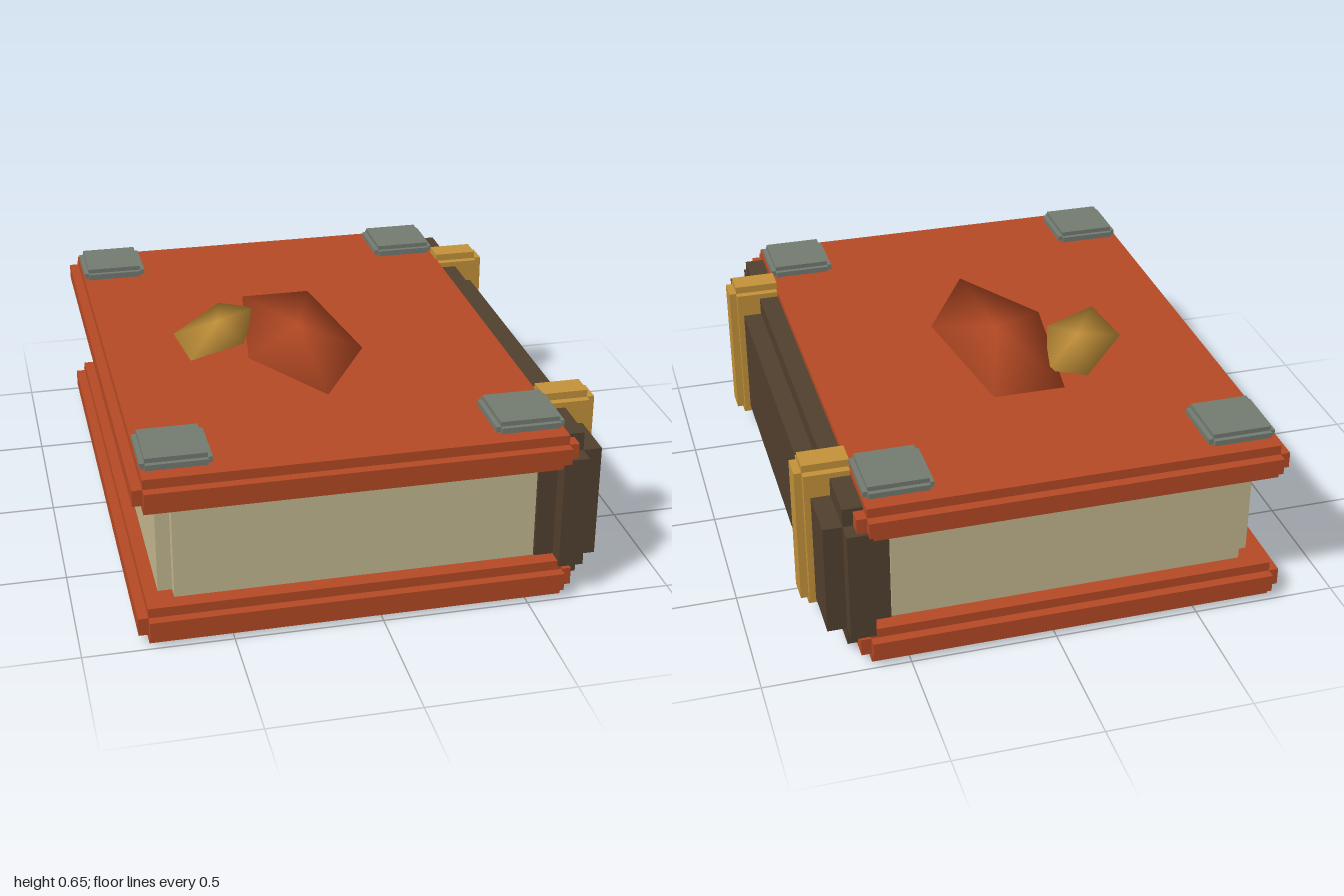
import * as THREE from 'three';
import { mergeGeometries } from 'three/addons/utils/BufferGeometryUtils.js';

const mat = (name, color) => Object.assign(new THREE.MeshStandardMaterial({ color }), { name });

// Block with square notches of size b cut along all its edges:
// three crossed boxes, each full length on one axis only.
function notchedBlock([x0, x1], [y0, y1], [z0, z1], b) {
  const size = [x1 - x0, y1 - y0, z1 - z0];
  const boxes = [0, 1, 2].map((axis) =>
    new THREE.BoxGeometry(...size.map((s, i) => (i === axis ? s : s - 2 * b))));
  return mergeGeometries(boxes)
    .translate((x0 + x1) / 2, (y0 + y1) / 2, (z0 + z1) / 2);
}

// Smooth kite-like gem: five rim points [x, z] and a peak above and below the rim.
function gem(rim, peak, rimY, height) {
  const n = rim.length;
  const pos = rim.flatMap(([x, z]) => [x, rimY, z]);
  pos.push(peak[0], rimY + height, peak[1], peak[0], rimY - height, peak[1]);
  const index = [];
  for (let i = 0; i < n; i++) {
    const j = (i + 1) % n;
    index.push(j, i, n, i, j, n + 1);
  }
  const geo = new THREE.BufferGeometry();
  geo.setAttribute('position', new THREE.Float32BufferAttribute(pos, 3));
  geo.setIndex(index);
  geo.computeVertexNormals();
  return geo;
}

export function createModel() {
  const leather = mat('red leather', 0xb54a24);
  const paper = mat('paper', 0xc4b88f);
  const spineBrown = mat('dark brown', 0x52402f);
  const brass = mat('brass', 0xc4923a);
  const iron = mat('grey iron', 0x747c72);

  const book = new THREE.Group();
  book.name = 'book';
  const add = (name, geometry, material) => {
    const mesh = new THREE.Mesh(geometry, material);
    mesh.name = name;
    book.add(mesh);
  };

  // Covers, pages and spine
  add('bottomCover', notchedBlock([-0.81, 0.66], [0, 0.13], [-1, 1], 0.034), leather);
  add('topCover', notchedBlock([-0.81, 0.66], [0.478, 0.602], [-1, 1], 0.034), leather);
  add('pages', notchedBlock([-0.73, 0.59], [0.08, 0.52], [-0.91, 0.91], 0.048), paper);
  add('spine', notchedBlock([0.545, 0.76], [0.05, 0.58], [-0.98, 0.98], 0.065), spineBrown);

  // Clasps over the spine and corner plates on the top cover
  for (const s of [-1, 1]) {
    const end = s < 0 ? 'back' : 'front';
    const z = s * 0.655;
    add(`${end}Clasp`, notchedBlock([0.597, 0.807], [0.078, 0.625], [z - 0.07, z + 0.07], 0.026), brass);
    for (const [side, x] of [['Right', -0.658], ['Left', 0.508]]) {
      const cz = s * 0.805;
      add(`${end}${side}CornerPlate`,
        notchedBlock([x - 0.117, x + 0.117], [0.595, 0.646], [cz - 0.12, cz + 0.12], 0.016), iron);
    }
  }

  // Two faceted ornaments on the top cover
  add('largeOrnament', gem(
    [[-0.205, -0.41], [0.05, -0.41], [0.13, 0.15], [-0.075, 0.5], [-0.285, 0.15]],
    [-0.075, 0], 0.603, 0.047), leather);
  add('smallOrnament', gem(
    [[-0.305, -0.36], [-0.18, -0.285], [-0.28, 0.03], [-0.49, 0.135], [-0.515, -0.11]],
    [-0.35, -0.115], 0.607, 0.033), brass);

  return book;
}
